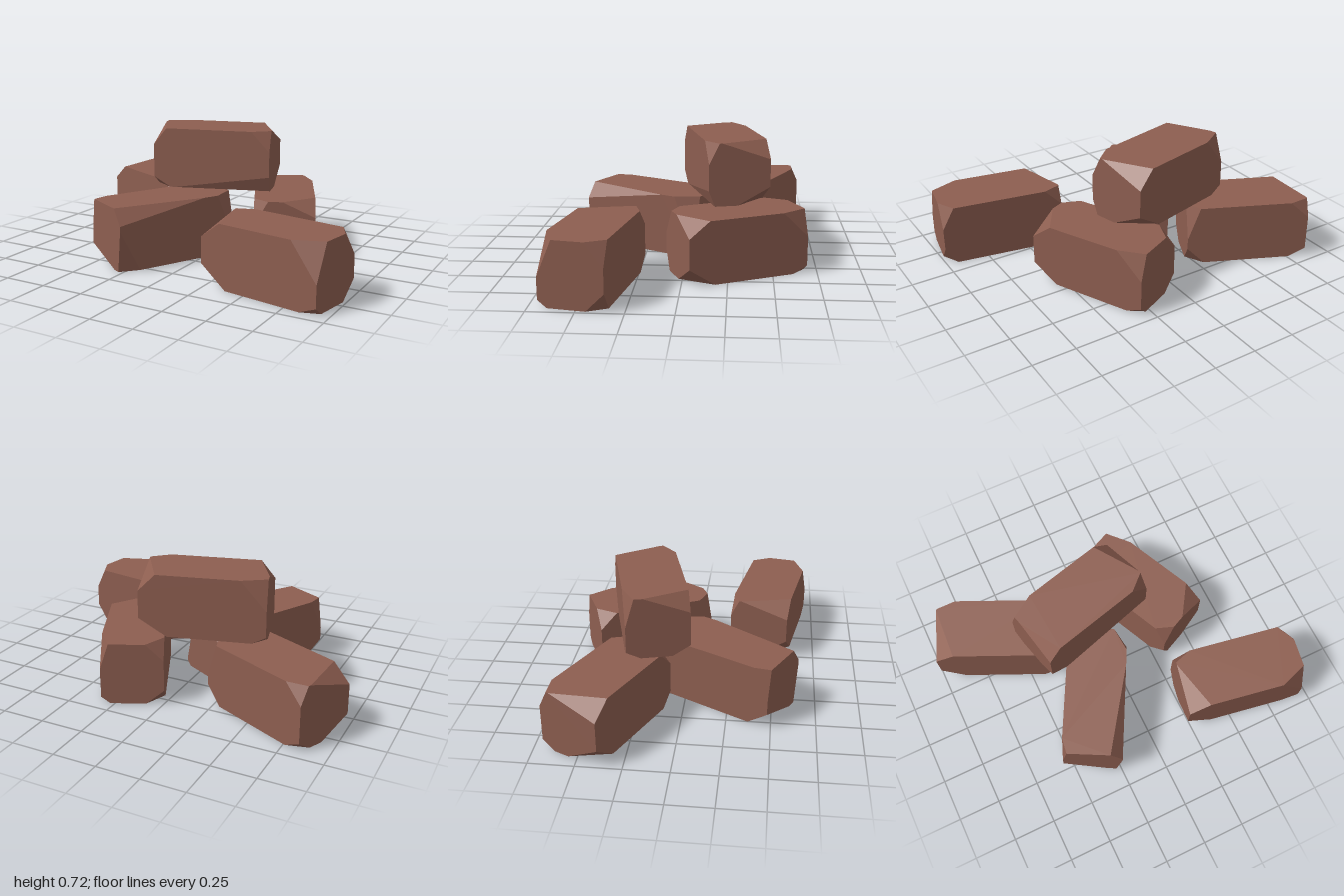
import * as THREE from 'three';
import { ConvexGeometry } from 'three/addons/geometries/ConvexGeometry.js';

const HEIGHT = 0.36;
const SIGNS = [[-1, -1], [1, -1], [1, 1], [-1, 1]];

// Block with every corner sliced off. Each cut is [along length, along height, along width].
function choppedBlock(length, width, top, bottom) {
  const points = [];
  [[top, 1], [bottom, -1]].forEach(([cuts, sy]) => {
    cuts.forEach(([a, b, c], i) => {
      const [sx, sz] = SIGNS[i];
      const x = sx * length / 2, y = sy * HEIGHT / 2, z = sz * width / 2;
      points.push(
        new THREE.Vector3(x - sx * a, y, z),
        new THREE.Vector3(x, y - sy * b, z),
        new THREE.Vector3(x, y, z - sz * c)
      );
    });
  });
  return new ConvexGeometry(points);
}

// Four stones on the ground and one resting across them
const STONES = [
  {
    name: 'backLeftStone', at: [-0.6, 0, -0.39], turn: -0.432, size: [0.716, 0.355],
    top: [[0.11, 0.1, 0.05], [0.07, 0.2, 0.083], [0.1, 0.1, 0.1], [0.115, 0.09, 0.29]],
    bottom: [[0.1, 0.05, 0.08], [0.1, 0.1, 0.08], [0.08, 0.08, 0.1], [0.14, 0.1, 0.19]],
  },
  {
    name: 'backRightStone', at: [0.31, 0, -0.296], turn: -1.135, size: [0.713, 0.352],
    top: [[0.155, 0.15, 0.05], [0.12, 0.09, 0.19], [0.08, 0.14, 0.08], [0.1, 0.1, 0.1]],
    bottom: [[0.09, 0.04, 0.05], [0.15, 0.1, 0.16], [0.1, 0.11, 0.05], [0.1, 0.08, 0.1]],
  },
  {
    name: 'frontMiddleStone', at: [-0.222, 0, 0.22], turn: 1.084, size: [0.77, 0.352],
    top: [[0.09, 0.19, 0.03], [0.2, 0.15, 0.17], [0.13, 0.32, 0.08], [0.55, 0.09, 0.07]],
    bottom: [[0.12, 0.09, 0.27], [0.1, 0.1, 0.1], [0.03, 0.03, 0.03], [0.12, 0.24, 0.035]],
  },
  {
    name: 'frontRightStone', at: [0.614, 0, 0.4625], turn: -0.174, size: [0.721, 0.355],
    top: [[0.1, 0.1, 0.05], [0.07, 0.13, 0.1], [0.155, 0.2, 0.085], [0.12, 0.09, 0.29]],
    bottom: [[0.1, 0.08, 0.08], [0.07, 0.1, 0.1], [0.1, 0.04, 0.05], [0.16, 0.12, 0.17]],
  },
  {
    name: 'topStone', at: [-0.11, HEIGHT, -0.219], turn: 0.255, size: [0.713, 0.357],
    top: [[0.145, 0.17, 0.05], [0.1, 0.1, 0.28], [0.11, 0.12, 0.06], [0.08, 0.1, 0.26]],
    bottom: [[0.08, 0.04, 0.08], [0.16, 0.1, 0.19], [0.58, 0.09, 0.035], [0.1, 0.06, 0.1]],
  },
];

export function createModel() {
  const group = new THREE.Group();
  const brown = new THREE.MeshStandardMaterial({ color: 0x8d5e50 });
  brown.name = 'reddish brown';

  for (const { name, at, turn, size, top, bottom } of STONES) {
    const stone = new THREE.Mesh(choppedBlock(size[0], size[1], top, bottom), brown);
    stone.name = name;
    stone.position.set(at[0], at[1] + HEIGHT / 2, at[2]);
    stone.rotation.y = turn;
    group.add(stone);
  }
  return group;
}
